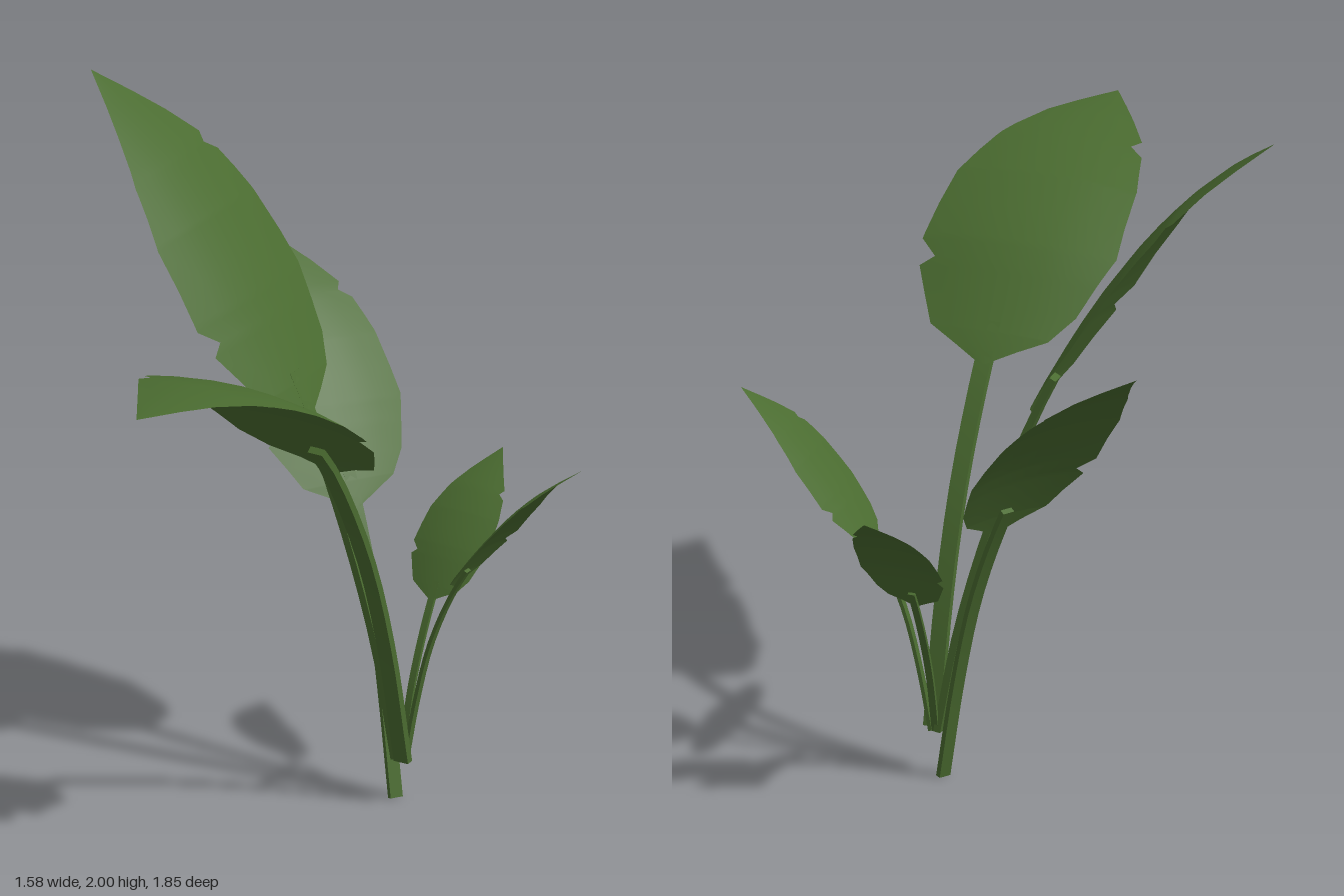
import * as THREE from 'three';
import { toCreasedNormals } from 'three/addons/utils/BufferGeometryUtils.js';

const green = new THREE.MeshStandardMaterial({ color: 0x4a6b30, side: THREE.DoubleSide });

// Blade outline as [position along blade, half width], both relative to blade length
const LEFT = [[0, 0.01], [0.085, 0.16], [0.235, 0.235], [0.262, 0.2], [0.31, 0.25],
  [0.53, 0.235], [0.69, 0.18], [0.82, 0.11], [1, 0]];
const RIGHT = [[0, 0.01], [0.08, 0.15], [0.155, 0.2], [0.33, 0.252], [0.545, 0.23],
  [0.67, 0.195], [0.7, 0.155], [0.73, 0.172], [1, 0]];
const ROWS = [...new Set([...LEFT, ...RIGHT].map(p => p[0]).concat(0.04, 0.42, 0.61, 0.9))].sort((a, b) => a - b);

function widthAt(outline, t) {
  const i = Math.max(1, outline.findIndex(p => p[0] >= t));
  const [t0, w0] = outline[i - 1], [t1, w1] = outline[i];
  return w0 + (w1 - w0) * (t - t0) / (t1 - t0);
}

// Join rows of equally many points into a surface; closed rows make a capped tube
function skin(rows, closed) {
  const n = rows[0].length, index = [];
  for (let i = 0; i < rows.length - 1; i++) {
    for (let j = 0; j < (closed ? n : n - 1); j++) {
      const a = i * n + j, b = i * n + (j + 1) % n;
      index.push(a, b, a + n, b, b + n, a + n);
    }
  }
  if (closed) {
    const e = (rows.length - 1) * n;
    index.push(0, 2, 1, 0, 3, 2, e, e + 1, e + 2, e, e + 2, e + 3);
  }
  const geo = new THREE.BufferGeometry().setFromPoints(rows.flat());
  geo.setIndex(index);
  geo.computeVertexNormals();
  return geo;
}

// One leaf: midrib points from foot to tip, with the blade starting at point bladeStart
function makeLeaf(name, points, bladeStart) {
  const curve = new THREE.CatmullRomCurve3(points.map(p => new THREE.Vector3(...p)), false, 'centripetal');
  const lengths = curve.getLengths(100 * (points.length - 1));
  const total = lengths[lengths.length - 1];
  const u0 = lengths[100 * bladeStart] / total;
  const size = total * (1 - u0);

  // Sideways axis is level and square to the heading
  const heading = curve.getPoint(1).sub(curve.getPoint(0)).setY(0).normalize();
  const side = heading.cross(new THREE.Vector3(0, 1, 0)).normalize();
  const place = (u, s, h) => {
    const normal = side.clone().cross(curve.getTangentAt(u));
    return curve.getPointAt(u).addScaledVector(side, s).addScaledVector(normal, h);
  };

  // Blade, its edges drooping slightly from the midrib
  const bladeRows = ROWS.map(t => {
    const u = Math.min(1, u0 + t * (1 - u0));
    const l = widthAt(LEFT, t), r = widthAt(RIGHT, t);
    return [-l, -l * 0.66, -l * 0.33, 0, r * 0.33, r * 0.66, r]
      .map(w => place(u, w * size, -0.5 * w * w * size));
  });
  const blade = new THREE.Mesh(skin(bladeRows, false), green);
  blade.name = name + 'Blade';

  // Flat stem running a little way under the blade
  const hw = 0.021 * size, th = 0.018 * size;
  const stemRows = [];
  const end = u0 + 0.11 * (1 - u0);
  for (let i = 0; i <= 12; i++) {
    const u = end * i / 12;
    stemRows.push([[-hw, 0], [hw, 0], [hw, -th], [-hw, -th]].map(([s, h]) => place(u, s, h)));
  }
  const stem = new THREE.Mesh(toCreasedNormals(skin(stemRows, true), 0.7), green);
  stem.name = name + 'Stem';

  const leaf = new THREE.Group();
  leaf.name = name;
  leaf.add(blade, stem);
  return leaf;
}

export function createModel() {
  const plant = new THREE.Group();
  plant.name = 'leafyPlant';
  plant.add(
    makeLeaf('tallLeaf', [[0.215, 0.13, -0.42], [0.15, 0.46, -0.42], [0.05, 0.8, -0.415], [-0.07, 1.11, -0.41],
      [-0.2, 1.36, -0.41], [-0.37, 1.62, -0.41], [-0.55, 1.82, -0.41], [-0.79, 2.0, -0.415]], 3),
    makeLeaf('frontLeaf', [[0.233, 0.13, -0.41], [0.225, 0.5, -0.33], [0.215, 0.8, -0.23], [0.2, 1.1, -0.07],
      [0.195, 1.24, 0.05], [0.185, 1.39, 0.2], [0.17, 1.51, 0.4], [0.155, 1.575, 0.63], [0.14, 1.575, 0.92]], 3),
    makeLeaf('backLeftLeaf', [[0.195, 0, -0.43], [0.14, 0.3, -0.465], [0.075, 0.56, -0.51], [-0.01, 0.79, -0.56],
      [-0.1, 0.97, -0.62], [-0.24, 1.18, -0.71], [-0.38, 1.32, -0.8], [-0.545, 1.43, -0.89]], 3),
    makeLeaf('smallLeftLeaf', [[0.22, 0.13, -0.43], [0.25, 0.3, -0.435], [0.3, 0.49, -0.435], [0.38, 0.67, -0.44],
      [0.5, 0.84, -0.44], [0.63, 0.98, -0.44], [0.785, 1.09, -0.445]], 3),
    makeLeaf('smallBackLeaf', [[0.21, 0.13, -0.43], [0.213, 0.33, -0.48], [0.22, 0.55, -0.575],
      [0.23, 0.7, -0.665], [0.243, 0.81, -0.77], [0.258, 0.905, -0.91]], 2),
  );
  return plant;
}
